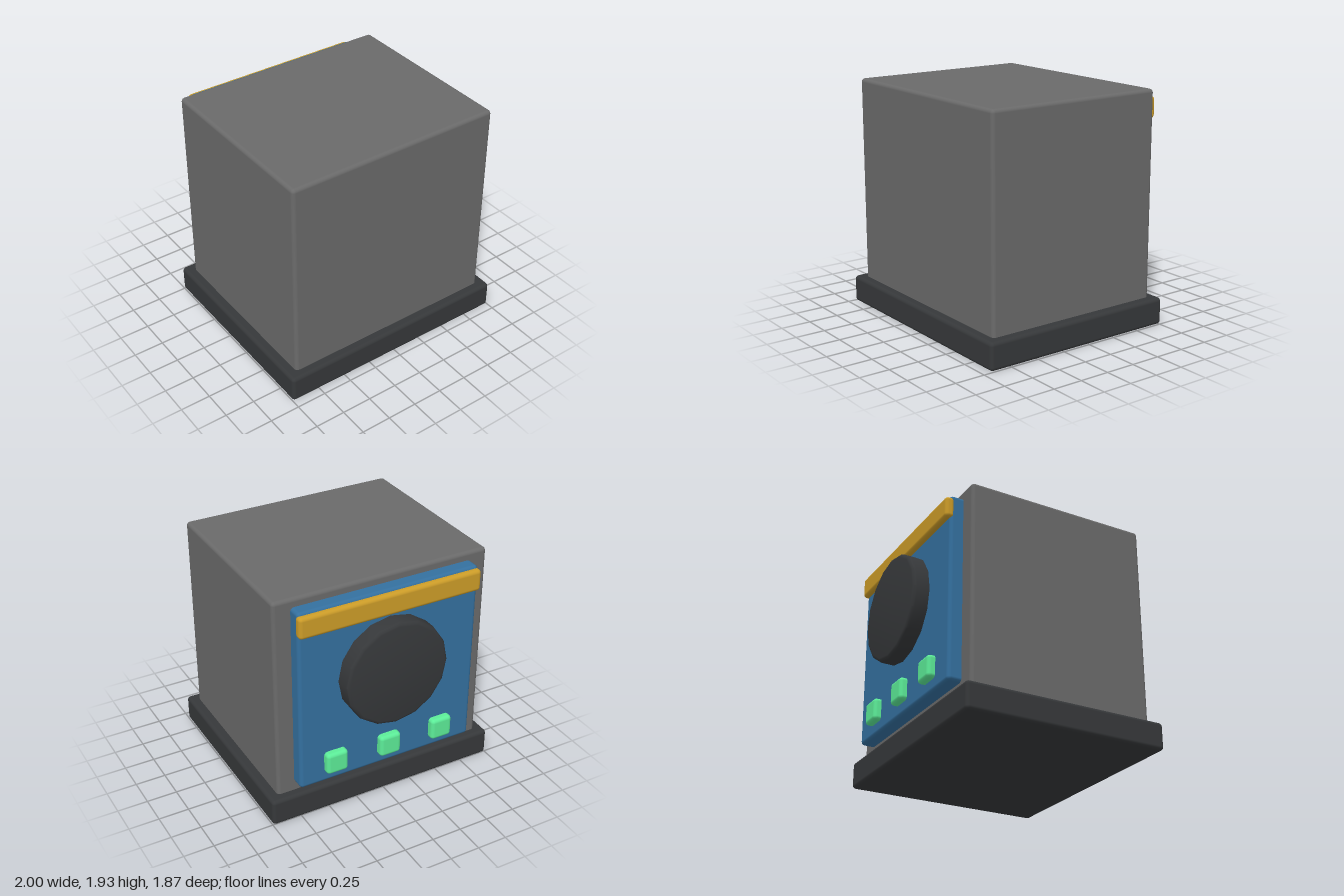
import * as THREE from 'three';
import { RoundedBoxGeometry } from 'three/addons/geometries/RoundedBoxGeometry.js';
import { toCreasedNormals } from 'three/addons/utils/BufferGeometryUtils.js';

const material = (color) => new THREE.MeshStandardMaterial({ color });
const dark = material(0x36383a);
const grey = material(0x6a6a6a);
const blue = material(0x34709f);
const yellow = material(0xcc9c28);
const green = material(0x5cec98);

// Rounded block given by its [min, max] extents on each axis
function block(name, [x0, x1], [y0, y1], [z0, z1], radius, mat) {
  const geometry = new RoundedBoxGeometry(x1 - x0, y1 - y0, z1 - z0, 3, radius);
  const mesh = new THREE.Mesh(geometry, mat);
  mesh.name = name;
  mesh.position.set((x0 + x1) / 2, (y0 + y1) / 2, (z0 + z1) / 2);
  return mesh;
}

// Sixteen-sided disc with a rounded rim, facing -z from its base at z = 0
function discGeometry(radius, depth, bevel) {
  const profile = [new THREE.Vector2(0, 0), new THREE.Vector2(radius, 0)];
  for (let i = 0; i <= 3; i++) {
    const a = (i / 3) * Math.PI / 2;
    profile.push(new THREE.Vector2(
      radius - bevel + bevel * Math.cos(a),
      depth - bevel + bevel * Math.sin(a)
    ));
  }
  profile.push(new THREE.Vector2(0, depth));
  const geometry = new THREE.LatheGeometry(profile, 16);
  geometry.rotateX(-Math.PI / 2);
  return toCreasedNormals(geometry, 0.6);
}

export function createModel() {
  const model = new THREE.Group();
  model.name = 'console';

  // Plinth and main housing
  model.add(block('base', [-1, 1], [0, 0.225], [-0.765, 0.935], 0.03, dark));
  model.add(block('body', [-0.92, 0.92], [0.1, 1.925], [-0.69, 0.86], 0.03, grey));

  // Rear panel with its top trim bar
  model.add(block('rearPanel', [-0.775, 0.775], [0.3, 1.855], [-0.8, -0.62], 0.03, blue));
  model.add(block('trimBar', [-0.78, 0.78], [1.655, 1.835], [-0.842, -0.765], 0.03, yellow));

  // Large round dial
  const dial = new THREE.Mesh(discGeometry(0.443, 0.155, 0.03), dark);
  dial.name = 'dial';
  dial.position.set(0, 1.19, -0.78);
  model.add(dial);

  // Row of three buttons
  for (const x of [-0.475, 0, 0.475]) {
    model.add(block('button', [x - 0.093, x + 0.093], [0.392, 0.577], [-0.86, -0.77], 0.03, green));
  }

  return model;
}
